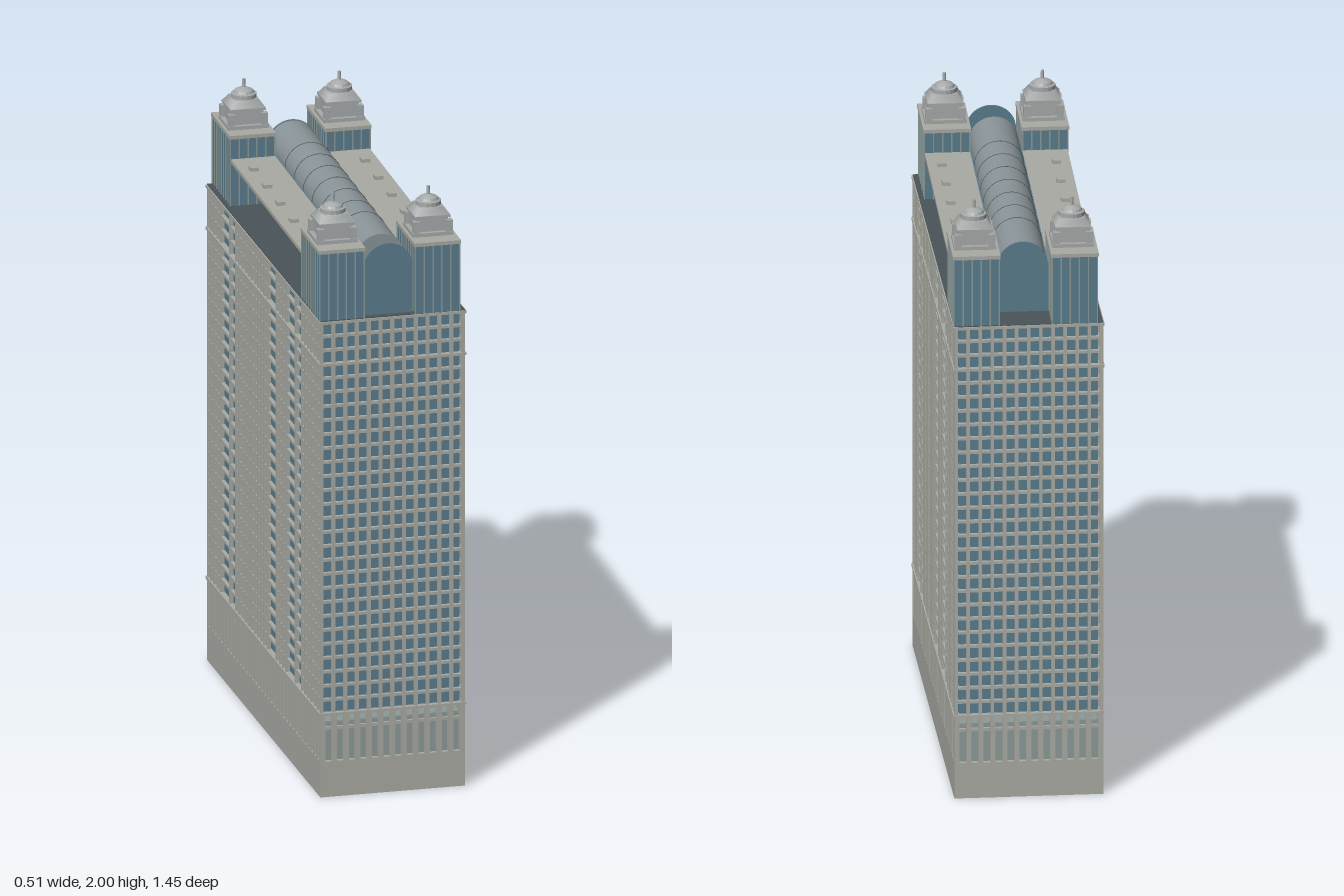
import * as THREE from 'three';
import { mergeGeometries } from 'three/addons/utils/BufferGeometryUtils.js';

const mat = (color) => new THREE.MeshStandardMaterial({ color, side: THREE.DoubleSide });
const STONE = mat(0xa9aaa3), GLASS = mat(0x5a7c8c), PANEL = mat(0x8b9a98),
  FLOOR = mat(0x4a5559), VAULT = mat(0x8a9498), METAL = mat(0xa6a9a9);

// Box given by its centre in x and z and its bottom and top in y
function box(w, d, y0, y1, x = 0, z = 0) {
  return new THREE.BoxGeometry(w, y1 - y0, d).translate(x, (y0 + y1) / 2, z);
}

function add(parent, name, geos, material) {
  const mesh = new THREE.Mesh(Array.isArray(geos) ? mergeGeometries(geos) : geos, material);
  mesh.name = name;
  parent.add(mesh);
  return mesh;
}

// Upright bars around a rectangle; skip(side, t) leaves bars out
function bars(hx, hz, nx, nz, w, depth, y0, y1, skip = () => false) {
  const out = [];
  for (const s of [-1, 1]) {
    for (let i = 0; i <= nx; i++) {
      const x = -hx + w / 2 + (i / nx) * (2 * hx - w);
      if (!skip('end', x)) out.push(box(w, depth, y0, y1, x, s * (hz - depth / 2)));
    }
    for (let i = 1; i < nz; i++) {
      const z = -hz + w / 2 + (i / nz) * (2 * hz - w);
      if (!skip('long', z * s)) out.push(box(depth, w, y0, y1, s * (hx - depth / 2), z));
    }
  }
  return out;
}

// Glass wall with a round top
function archWall(r, y0, spring, depth) {
  const s = new THREE.Shape();
  s.moveTo(-r, y0);
  s.lineTo(r, y0);
  s.lineTo(r, spring);
  s.absarc(0, spring, r, 0, Math.PI, false);
  s.lineTo(-r, y0);
  return new THREE.ExtrudeGeometry(s, { depth, bevelEnabled: false, curveSegments: 16 });
}

// Four-sided block that narrows upwards
function taper(bottom, top, y0, y1) {
  return new THREE.CylinderGeometry(top / Math.SQRT2, bottom / Math.SQRT2, y1 - y0, 4)
    .rotateY(Math.PI / 4).translate(0, (y0 + y1) / 2, 0).toNonIndexed();
}

function makeBody() {
  const g = new THREE.Group();
  g.name = 'body';
  const hx = 0.24, hz = 0.718, y0 = 0.275, y1 = 1.61;
  add(g, 'plinth', box(2 * hx, 2 * hz, 0, 0.12), STONE);

  // Ground colonnade with an open slot above its wall
  add(g, 'arcadeWall', box(2 * hx - 0.03, 2 * hz - 0.03, 0.12, 0.25), PANEL);
  add(g, 'arcadePillars', bars(hx, hz, 12, 36, 0.017, 0.016, 0.12, 0.275), STONE);
  add(g, 'arcadeBeam', box(2 * hx - 0.012, 2 * hz - 0.012, 0.225, 0.235), STONE);

  // Glass core behind the window grid
  add(g, 'glassCore', box(2 * hx - 0.03, 2 * hz - 0.03, y0, y1 - 0.005), GLASS);
  const bays = [[0.39, 0.56], [-0.19, -0.05], [-0.47, -0.31]];
  const wide = (side, t) => side === 'long' &&
    bays.some(([a, b]) => t > a && t < b) && Math.round((t + 1) / 0.04) % 3 !== 0;
  add(g, 'columns', bars(hx, hz, 12, 36, 0.011, 0.013, y0, y1, wide), STONE);
  const floors = [];
  const n = 28;
  for (let i = 0; i <= n; i++) {
    const y = y0 + (i / n) * (y1 - y0 - 0.01);
    const out = i === 0 || i === n || i === n - 3 ? 0.008 : -0.004;
    floors.push(box(2 * hx + out, 2 * hz + out, y, y + 0.009));
  }
  add(g, 'floorBands', floors, STONE);
  add(g, 'terrace', box(2 * hx, 2 * hz, y1 - 0.002, y1 + 0.002), FLOOR);
  g.rotation.y = 0.014;
  return g;
}

// Corner tower with its stepped lantern
function makeTower(x, z) {
  const g = new THREE.Group();
  g.name = 'cornerTower';
  const w = 0.15, d = 0.245;
  const shaft = new THREE.Group();
  shaft.name = 'towerShaft';
  shaft.position.set(x, 0, z);
  add(shaft, 'towerGlass', box(w - 0.006, d - 0.006, 1.61, 1.84), GLASS);
  add(shaft, 'towerMullions', bars(w / 2, d / 2, 5, 8, 0.004, 0.004, 1.61, 1.84), PANEL);
  add(shaft, 'towerRoof', box(w + 0.004, d + 0.004, 1.838, 1.85), STONE);
  g.add(shaft);

  const lantern = new THREE.Group();
  lantern.name = 'lantern';
  lantern.position.set(x, 0, Math.sign(z) * 0.595);
  const blocks = [box(0.135, 0.135, 1.85, 1.862), box(0.105, 0.105, 1.862, 1.912),
    box(0.118, 0.118, 1.908, 1.916)];
  for (const sx of [-1, 1]) for (const sz of [-1, 1])
    blocks.push(box(0.022, 0.022, 1.862, 1.9, sx * 0.054, sz * 0.054));
  add(lantern, 'lanternBase', blocks, METAL);
  add(lantern, 'lanternSlope', taper(0.112, 0.078, 1.916, 1.94), METAL);
  const dome = [[0.042, 1.94], [0.042, 1.953], [0.034, 1.955], [0.03, 1.963], [0.016, 1.97],
    [0.006, 1.973], [0.005, 2.0], [0, 2.0]].map(([r, y]) => new THREE.Vector2(r, y));
  const domeGeo = new THREE.LatheGeometry(dome, 16).toNonIndexed();
  domeGeo.computeVertexNormals();
  add(lantern, 'lanternDome', domeGeo, METAL);
  g.add(lantern);
  return g;
}

function makeCrown() {
  const g = new THREE.Group();
  g.name = 'crown';
  for (const sx of [-1, 1]) for (const sz of [-1, 1])
    g.add(makeTower(sx * 0.158, sz * 0.598));

  // Long hall under the barrel vault
  add(g, 'hallWalls', box(0.168, 1.18, 1.61, 1.77), GLASS);
  const posts = [];
  for (let i = 0; i <= 24; i++) posts.push(box(0.174, 0.004, 1.61, 1.76, 0, -0.48 + i * 0.04));
  add(g, 'hallMullions', posts, PANEL);
  add(g, 'barrelVault', new THREE.CylinderGeometry(0.079, 0.079, 1.18, 24, 1, false,
    -Math.PI / 2, Math.PI).rotateX(-Math.PI / 2).translate(0, 1.768, 0), VAULT);
  const ribs = [-0.36, -0.24, -0.12, 0, 0.12, 0.24, 0.36].map((z) =>
    new THREE.TorusGeometry(0.079, 0.0015, 4, 20, Math.PI).translate(0, 1.768, z));
  add(g, 'vaultRibs', ribs, FLOOR);
  add(g, 'frontArch', archWall(0.081, 1.61, 1.768, 0.006).translate(0, 0, 0.69), GLASS);
  add(g, 'backArch', archWall(0.081, 1.61, 1.768, 0.006).translate(0, 0, -0.596), GLASS);

  // Overhanging side roofs with small hatches
  const roofs = [], hatches = [];
  for (const s of [-1, 1]) {
    roofs.push(box(0.147, 0.956, 1.758, 1.77, s * 0.1565));
    for (let i = -2; i <= 2; i++) hatches.push(box(0.028, 0.03, 1.77, 1.782, s * 0.184, i * 0.178));
  }
  add(g, 'sideRoofs', roofs, STONE);
  add(g, 'roofHatches', hatches, STONE);
  return g;
}

export function createModel() {
  const model = new THREE.Group();
  model.name = 'highRise';
  model.add(makeBody(), makeCrown());
  return model;
}
